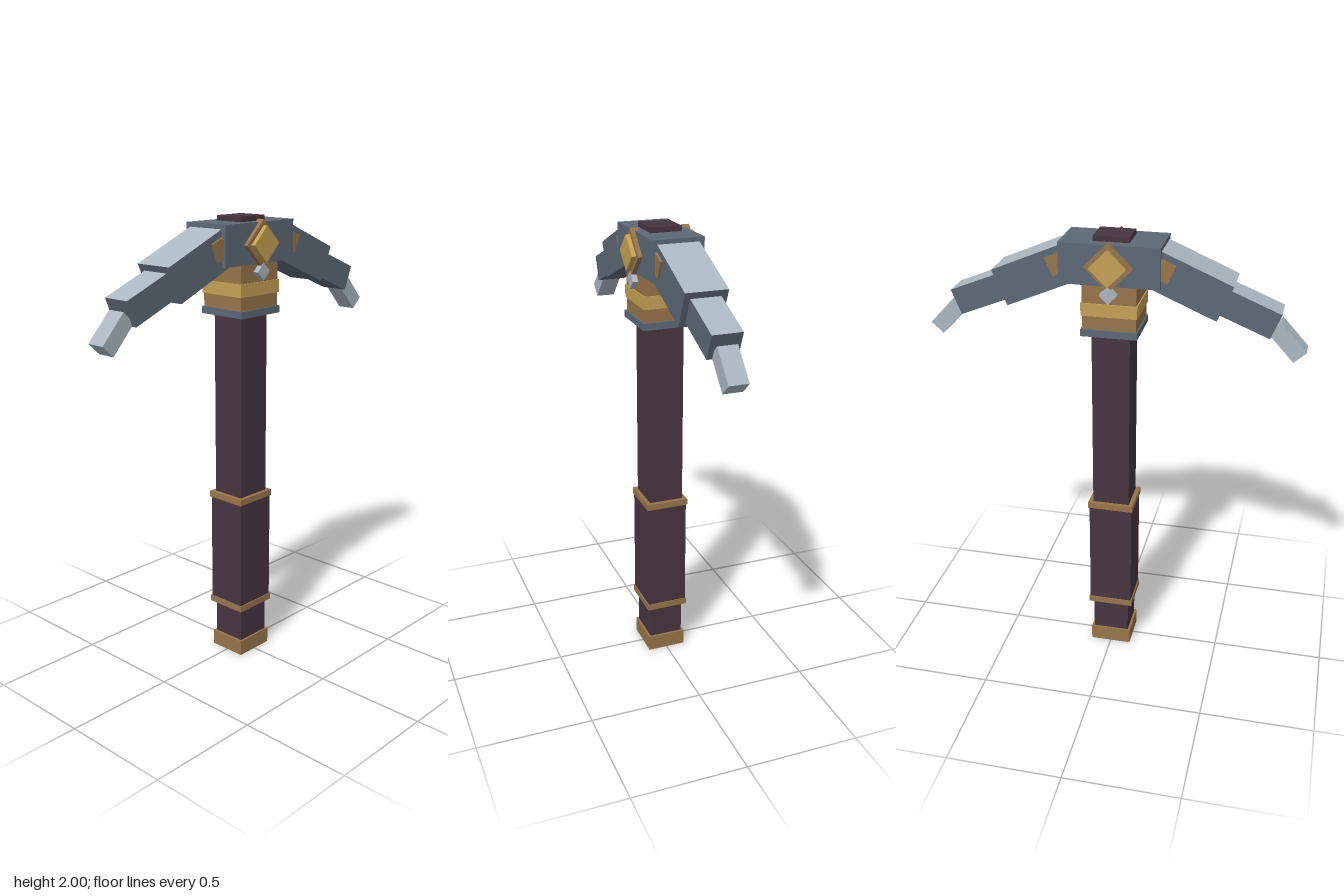
import * as THREE from 'three';

const material = (name, color) => {
  const m = new THREE.MeshStandardMaterial({ color });
  m.name = name;
  return m;
};

export function createModel() {
  const wood = material('darkWood', 0x483540);
  const bronze = material('bronze', 0x97754a);
  const gold = material('gold', 0xc5a155);
  const slate = material('slateMetal', 0x5d6977);
  const steel = material('paleSteel', 0xabb7c1);
  // box sides: +x, -x, +y (pale upper face), -y, +z, -z
  const bevelled = [slate, slate, steel, slate, slate, slate];

  const model = new THREE.Group();
  model.name = 'pickaxe';

  const box = (name, mat, w, h, d, x, y, z, angle = 0) => {
    const mesh = new THREE.Mesh(new THREE.BoxGeometry(w, h, d), mat);
    mesh.name = name;
    mesh.position.set(x, y, z);
    mesh.rotation.z = angle;
    model.add(mesh);
    return mesh;
  };
  // upright block centred on the handle axis, from y0 to y1
  const block = (name, mat, w, d, y0, y1) =>
    box(name, mat, w, y1 - y0, d, 0, (y0 + y1) / 2, 0);

  // handle
  block('pommel', bronze, 0.186, 0.174, 0, 0.07);
  block('shaft', wood, 0.164, 0.154, 0.05, 1.7);
  block('grip', wood, 0.194, 0.18, 0.24, 0.76);
  block('lowerGripRing', bronze, 0.204, 0.19, 0.225, 0.253);
  block('upperGripRing', bronze, 0.204, 0.19, 0.745, 0.773);
  block('shaftTop', wood, 0.15, 0.135, 1.9, 2.0);

  // collar and head
  block('collarPlate', slate, 0.24, 0.234, 1.587, 1.617);
  block('collar', bronze, 0.228, 0.216, 1.6, 1.83);
  block('collarBand', gold, 0.238, 0.226, 1.675, 1.73);
  block('head', slate, 0.42, 0.224, 1.807, 1.978);

  // arm piece given by the centre of its outer end, its length and its downward slope
  const armPiece = (name, mat, side, endX, endY, length, h, d, degrees) => {
    const a = THREE.MathUtils.degToRad(degrees);
    const x = endX - Math.cos(a) * length / 2;
    const y = endY + Math.sin(a) * length / 2;
    box(name, mat, length, h, d, side * x, y, 0, -side * a);
  };
  for (const side of [1, -1]) {
    const label = side > 0 ? 'left' : 'right';
    armPiece(label + 'ArmInner', bevelled, side, 0.471, 1.761, 0.34, 0.162, 0.18, 23);
    armPiece(label + 'ArmOuter', bevelled, side, 0.676, 1.673, 0.3, 0.114, 0.128, 22);
    armPiece(label + 'Tip', steel, side, 0.78, 1.541, 0.16, 0.07, 0.084, 47);
    armPiece(label + 'ArmClasp', bronze, side, 0.254, 1.867, 0.1, 0.082, 0.2, 23);
  }

  // diamond ornaments on the front and back
  for (const side of [1, -1]) {
    const label = side > 0 ? 'front' : 'back';
    const diamond = (name, mat, size, y, z0, z1) =>
      box(label + name, mat, size, size, z1 - z0, 0, y, side * (z0 + z1) / 2, Math.PI / 4);
    diamond('DiamondFrame', bronze, 0.143, 1.889, 0.095, 0.13);
    diamond('DiamondGem', gold, 0.108, 1.889, 0.11, 0.149);
    diamond('SmallDiamond', steel, 0.053, 1.775, 0.1, 0.132);
  }

  return model;
}
